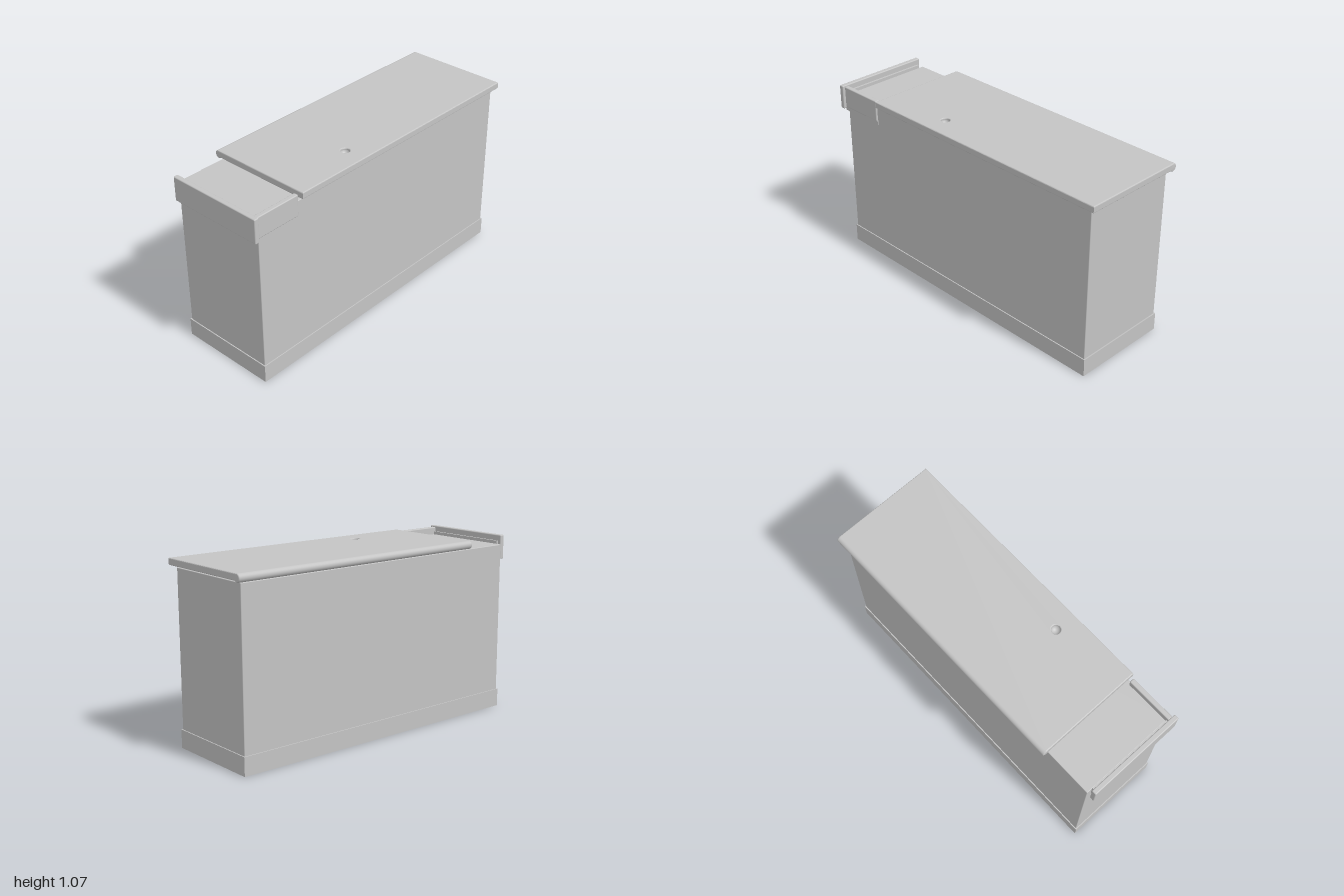
import * as THREE from 'three';
import { RoundedBoxGeometry } from 'three/addons/geometries/RoundedBoxGeometry.js';

const grey = new THREE.MeshStandardMaterial({ color: 0xc4c4c4 });
grey.name = 'light grey';
const greyOpen = grey.clone();
greyOpen.side = THREE.DoubleSide;

// box given by its low and high corners, optionally with rounded edges
function block(name, [x0, y0, z0], [x1, y1, z1], radius = 0) {
  const size = [x1 - x0, y1 - y0, z1 - z0];
  const geometry = radius
    ? new RoundedBoxGeometry(...size, 3, radius)
    : new THREE.BoxGeometry(...size);
  const mesh = new THREE.Mesh(geometry, grey);
  mesh.name = name;
  mesh.position.set((x0 + x1) / 2, (y0 + y1) / 2, (z0 + z1) / 2);
  return mesh;
}

function createCountertop() {
  const group = new THREE.Group();
  group.name = 'countertop';
  const bevel = 0.006;
  const hole = { x: -0.21, z: 0.195, r: 0.032 };
  const x0 = -0.667, x1 = 0.996, zFront = 0.325, zBack = -0.302;

  // slab outline in x and -z, with a round opening, turned to lie flat
  const outline = new THREE.Shape([
    new THREE.Vector2(x0 + bevel, -zFront + bevel),
    new THREE.Vector2(x1 - bevel, -zFront + bevel),
    new THREE.Vector2(x1 - bevel, -zBack),
    new THREE.Vector2(x0 + bevel, -zBack),
  ]);
  outline.holes.push(new THREE.Path().absarc(hole.x, -hole.z, hole.r, 0, Math.PI * 2, true));
  const slab = new THREE.Mesh(new THREE.ExtrudeGeometry(outline, {
    depth: 0.04 - 2 * bevel, bevelSize: bevel, bevelThickness: bevel,
    bevelSegments: 3, curveSegments: 16,
  }), grey);
  slab.name = 'slab';
  slab.rotation.x = -Math.PI / 2;
  slab.position.y = 1.03 + bevel;
  group.add(slab);

  // shallow bowl inside the opening
  const bowl = new THREE.Mesh(
    new THREE.SphereGeometry(hole.r - bevel + 0.001, 24, 8, 0, Math.PI * 2, Math.PI / 2, Math.PI / 2), greyOpen);
  bowl.name = 'bowl';
  bowl.position.set(hole.x, 1.064, hole.z);
  group.add(bowl);

  // rounded lip along the back edge, with softened ends
  const r = 0.024, half = (x1 - x0) / 2, soft = 0.006;
  const profile = [
    [0, -half], [r - soft, -half], [r - 0.002, -half + 0.002], [r, -half + soft],
    [r, half - soft], [r - 0.002, half - 0.002], [r - soft, half], [0, half],
  ].map(([a, b]) => new THREE.Vector2(a, b));
  const lip = new THREE.Mesh(new THREE.LatheGeometry(profile, 24), grey);
  lip.name = 'backLip';
  lip.rotation.z = Math.PI / 2;
  lip.position.set((x0 + x1) / 2, 1.046, zBack);
  group.add(lip);
  return group;
}

export function createModel() {
  const model = new THREE.Group();
  model.name = 'counter';

  // cabinet
  model.add(block('plinth', [-0.963, 0, -0.295], [0.968, 0.108, 0.305]));
  model.add(block('cabinet', [-0.957, 0.1, -0.289], [0.962, 1.017, 0.299], 0.004));
  model.add(block('topSupport', [-0.65, 1.01, -0.27], [0.945, 1.035, 0.28]));
  model.add(createCountertop());

  // raised guard around the lowered end
  const guard = new THREE.Group();
  guard.name = 'endGuard';
  guard.add(block('sidePanel', [-1, 0.924, -0.275], [-0.97, 1.07, 0.325], 0.006));
  guard.add(block('sideBacking', [-0.974, 0.93, -0.255], [-0.957, 1.035, 0.29]));
  guard.add(block('frontPanel', [-0.972, 0.934, 0.281], [-0.684, 1.062, 0.31], 0.006));
  guard.add(block('frontStrip', [-0.975, 0.91, 0.29], [-0.68, 0.937, 0.305]));
  model.add(guard);
  return model;
}
